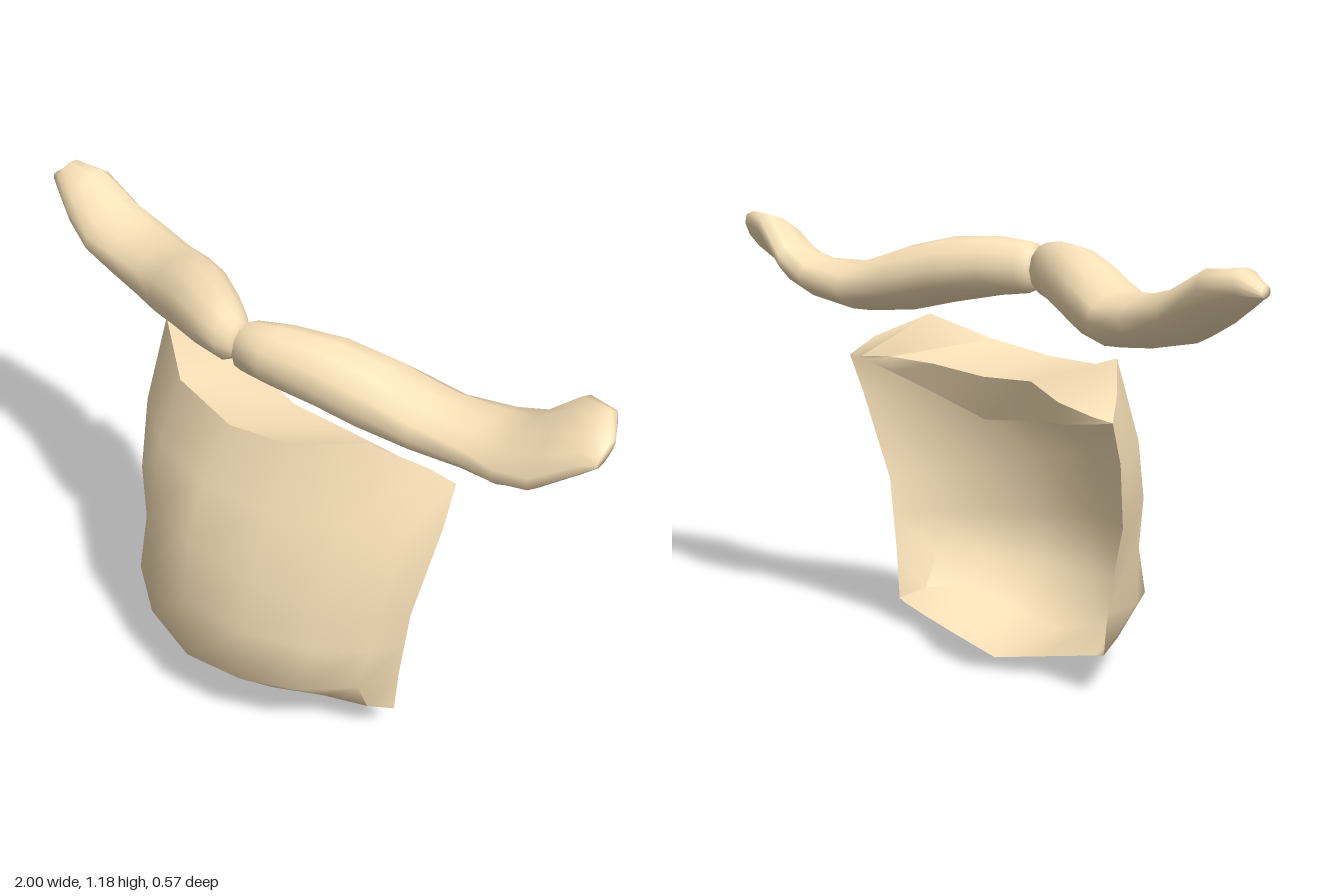
import * as THREE from 'three';
import { toCreasedNormals } from 'three/addons/utils/BufferGeometryUtils.js';

const material = new THREE.MeshStandardMaterial({ color: 0xfce4ba, side: THREE.DoubleSide });
const lerp = THREE.MathUtils.lerp;

// Skin a list of equally long rows of [x, y, z] points
function loft(rows, closeColumns) {
  const n = rows[0].length, index = [];
  for (let i = 0; i < rows.length - 1; i++) {
    for (let j = 0; j < (closeColumns ? n : n - 1); j++) {
      const j2 = (j + 1) % n;
      const a = i * n + j, b = a + n, c = i * n + j2, d = c + n;
      index.push(a, b, c, b, d, c);
    }
  }
  const geometry = new THREE.BufferGeometry();
  geometry.setAttribute('position', new THREE.Float32BufferAttribute(rows.flat(2), 3));
  geometry.setIndex(index);
  geometry.computeVertexNormals();
  return geometry;
}

// Hollow chest shell: rows run from the bottom lip up the front and over the top
function chestPlate() {
  // left and right rim points, from bottom to top
  const rim = [
    [[0.49, 0.07, -0.06], [-0.42, 0.11, -0.09]],
    [[0.5, 0.2, -0.06], [-0.455, 0.23, -0.11]],
    [[0.515, 0.31, -0.06], [-0.495, 0.35, -0.125]],
    [[0.53, 0.42, -0.06], [-0.54, 0.47, -0.14]],
    [[0.56, 0.68, -0.13], [-0.615, 0.65, -0.22]],
    [[0.55, 0.79, -0.18], [-0.64, 0.76, -0.27]],
  ];
  const lipY = [0, 0.03, 0.05, 0.02, 0, 0.02, 0.045, 0.03, 0];
  const peaksY = [0, 0.05, 0.11, 0.04, 0, 0.03, 0.1, 0.045, 0];
  const peaksZ = [0, -0.02, -0.01, 0, 0, 0, -0.02, -0.02, 0];
  const backY = [0, 0, 0.01, 0.01, 0, 0.03, 0.02, 0.01, 0];
  const backZ = [0, 0, 0, 0, 0, -0.03, -0.08, -0.05, 0];
  // rim level, centre point, optional y and z offsets across the row
  const sections = [
    [0, [0.03, 0, -0.08]],
    [0, [0.03, 0.04, 0.14], lipY],
    [1, [0.03, 0.17, 0.28]],
    [2, [0.02, 0.35, 0.27]],
    [3, [0.01, 0.54, 0.25]],
    [4, [0, 0.68, 0.18]],
    [5, [0, 0.82, 0.09], peaksY, peaksZ],
    [5, [0, 0.785, -0.14], backY, backZ],
    [5, [0, 0.67, -0.135], null, backZ],
  ];
  const rows = sections.map(([level, centre, dy, dz]) => {
    const row = [];
    for (let k = 0; k <= 8; k++) {
      const angle = (k / 8 - 0.5) * Math.PI;
      const s = Math.abs(Math.sin(angle));
      // the upper right flank is flatter than the left
      const power = level < 2 ? 1.1 : k < 4 ? 1.3 : 1.6;
      const c = Math.max(0, Math.cos(angle)) ** power;
      const edge = rim[level][k < 4 ? 0 : 1];
      row.push([
        lerp(centre[0], edge[0], s),
        lerp(centre[1], edge[1], s) + (dy ? dy[k] : 0),
        lerp(edge[2], centre[2], c) + (dz ? dz[k] : 0),
      ]);
    }
    return row;
  });
  return toCreasedNormals(loft(rows, false), 1.05);
}

// Collarbone: tilted elliptical sections [x, y, z, half depth, half height, tilt]
function collarbone(sections, side) {
  const sides = 12;
  const first = sections[0], last = sections[sections.length - 1];
  const all = [[...first.slice(0, 3), 0, 0, 0], ...sections, [...last.slice(0, 3), 0, 0, 0]];
  const rows = all.map(([x, y, z, a, b, tilt]) => {
    const row = [];
    for (let k = 0; k < sides; k++) {
      const angle = (k / sides) * Math.PI * 2;
      const u = a * Math.cos(angle), v = b * Math.sin(angle) * side;
      row.push([
        x * side,
        y + v * Math.cos(tilt) - u * Math.sin(tilt),
        z + u * Math.cos(tilt) + v * Math.sin(tilt),
      ]);
    }
    return row;
  });
  return loft(rows, true);
}

export function createModel() {
  const group = new THREE.Group();
  const add = (name, geometry) => {
    const mesh = new THREE.Mesh(geometry, material);
    mesh.name = name;
    group.add(mesh);
  };

  add('chestPlate', chestPlate());

  // inner half shared by both collarbones
  const inner = [
    [0.01, 1.06, 0.045, 0.035, 0.045, 0],
    [0.035, 1.06, 0.05, 0.063, 0.07, 0],
    [0.12, 1.06, 0.023, 0.088, 0.08, 0],
    [0.25, 1.045, -0.03, 0.105, 0.09, 0],
    [0.38, 1.015, -0.08, 0.113, 0.09, 0],
    [0.52, 0.985, -0.13, 0.117, 0.07, 0],
  ];
  add('leftCollarbone', collarbone([
    ...inner,
    [0.66, 0.995, -0.16, 0.118, 0.06, 0.15],
    [0.76, 1.015, -0.165, 0.122, 0.058, 0.4],
    [0.86, 1.075, -0.17, 0.135, 0.058, 0.7],
    [0.95, 1.11, -0.19, 0.09, 0.045, 0.7],
    [0.995, 1.11, -0.17, 0.04, 0.015, 0.7],
  ], 1));
  add('rightCollarbone', collarbone([
    ...inner,
    [0.65, 0.993, -0.148, 0.114, 0.065, 0.1],
    [0.76, 1.015, -0.15, 0.105, 0.062, 0.3],
    [0.87, 1.07, -0.155, 0.09, 0.052, 0.6],
    [0.96, 1.097, -0.16, 0.055, 0.042, 0.6],
    [1, 1.09, -0.145, 0.015, 0.015, 0],
  ], -1));
  return group;
}
